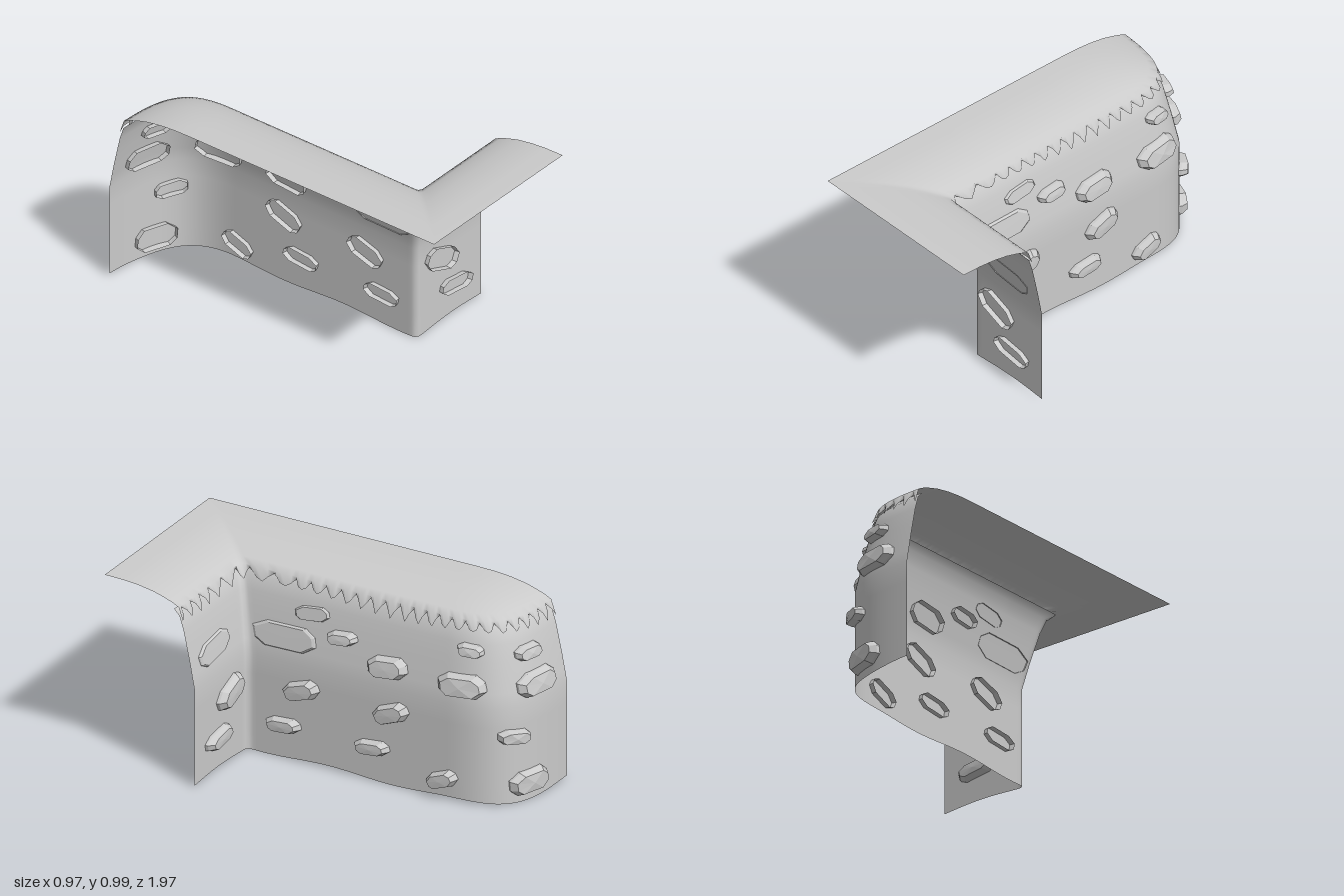
import * as THREE from 'three';

const material = new THREE.MeshStandardMaterial({ color: 0xcccccc, side: THREE.DoubleSide });
const stoneMaterial = new THREE.MeshStandardMaterial({ color: 0xcccccc, side: THREE.DoubleSide, flatShading: true });

// Ground line of the cliff in (x, z): short front leg, inner corner, long side, rounded back
const path = new THREE.Path();
path.moveTo(0.485, 0.51).lineTo(0.03, 0.51);
path.quadraticCurveTo(0, 0.51, 0, 0.48);
path.lineTo(0, -0.58);
path.bezierCurveTo(0, -0.86, -0.13, -0.94, -0.485, -0.95);
path.arcLengthDivisions = 400;
const LENGTH = path.getLength();
const at = (s) => path.getPointAt(THREE.MathUtils.clamp(s / LENGTH, 0, 1));

// Point on the far edge of the plateau that belongs to a point of the ground line
function farEdge(b) {
  const { smoothstep, lerp } = THREE.MathUtils;
  if (b.y > 0.495) return new THREE.Vector2(lerp(-0.485, b.x, smoothstep(b.x, 0, 0.2)), 1);
  if (b.y > -0.3) return new THREE.Vector2(-0.485, lerp(b.y, 1, smoothstep(b.y, 0.3, 0.495)));
  return new THREE.Vector2(-0.485, -0.3 + (b.y + 0.3) * 0.23);
}

// Position at length s, moved inward by d (0 = ground line, 0.485 = far edge), at height y
function inset(s, d, y) {
  const b = at(s);
  const p = b.clone().lerp(farEdge(b), d / 0.485);
  return new THREE.Vector3(p.x, y, p.y);
}

// Inward lean of the wall at height y
const LEAN = [[0, 0], [0.5, 0], [0.65, 0.028], [0.8, 0.06], [0.87, 0.082], [0.92, 0.13]];
function lean(y) {
  for (let i = 1; i < LEAN.length; i++) {
    const [y0, d0] = LEAN[i - 1], [y1, d1] = LEAN[i];
    if (y <= y1) return THREE.MathUtils.mapLinear(Math.max(y, 0), y0, y1, d0, d1);
  }
  return 0.13;
}

// Surface from a grid of points given by rule(column, row)
function grid(columns, rows, rule) {
  const positions = [], index = [];
  for (let j = 0; j <= rows; j++)
    for (let i = 0; i <= columns; i++) positions.push(...rule(i, j).toArray());
  for (let j = 0; j < rows; j++)
    for (let i = 0; i < columns; i++) {
      const a = j * (columns + 1) + i, c = a + columns + 1;
      index.push(a, a + 1, c, a + 1, c + 1, c);
    }
  const geometry = new THREE.BufferGeometry();
  geometry.setAttribute('position', new THREE.Float32BufferAttribute(positions, 3));
  geometry.setIndex(index);
  geometry.computeVertexNormals();
  return geometry;
}

function add(group, name, geometry, mat = material) {
  const mesh = new THREE.Mesh(geometry, mat);
  mesh.name = name;
  group.add(mesh);
}

// Length along the ground line nearest to (x, z)
function lengthNear(x, z) {
  let best = 0, bestDistance = Infinity;
  for (let k = 0; k <= 400; k++) {
    const s = (LENGTH * k) / 400;
    const distance = at(s).distanceToSquared(new THREE.Vector2(x, z));
    if (distance < bestDistance) [best, bestDistance] = [s, distance];
  }
  return best;
}

// Octagonal stone shell, open at the back, bent along the wall
const OCTAGON = [[1, -0.3], [0.95, 0.45], [0.62, 1], [-0.55, 0.95], [-1, 0.35], [-0.96, -0.5], [-0.66, -1], [0.6, -0.95]];
const RAISED = [[1, -0.026], [0.92, 0.014], [0.72, 0.042], [0, 0.045]];
const FLUSH = [[1, -0.004], [0.96, 0.006], [0.88, 0.012], [0, 0.012]];
function stone([x, z, y, w, h, tilt, flush]) {
  const s0 = lengthNear(x, z), rings = flush ? FLUSH : RAISED;
  return grid(8, 3, (i, j) => {
    const [scale, out] = rings[j];
    const p = new THREE.Vector2(...OCTAGON[i % 8]).multiply(new THREE.Vector2(w / 2, h / 2));
    p.multiplyScalar(scale).rotateAround(new THREE.Vector2(), tilt);
    const s = s0 + p.x, yy = y + p.y;
    const t = path.getTangentAt(THREE.MathUtils.clamp(s / LENGTH, 0, 1));
    return inset(s, lean(yy), yy).add(new THREE.Vector3(-t.y * out, 0, t.x * out));
  });
}

// x, z, height, width, tallness, tilt, flush with the wall
const STONES = [
  // front leg
  [0.175, 0.51, 0.37, 0.24, 0.115, 0.35], [0.28, 0.51, 0.175, 0.23, 0.08, 0.12], [0.27, 0.51, 0.63, 0.28, 0.11, 0.1, true],
  // long side
  [0, 0.18, 0.76, 0.19, 0.07, 0.1, true], [0, 0.31, 0.62, 0.33, 0.125, 0, true],
  [0, 0.005, 0.685, 0.17, 0.065, 0.08], [0, -0.25, 0.6, 0.23, 0.11, 0.08],
  [0, 0.21, 0.375, 0.21, 0.1, 0.3], [0, -0.28, 0.375, 0.21, 0.1, 0.35],
  [0, 0.31, 0.175, 0.2, 0.075, 0.05], [0, -0.175, 0.175, 0.2, 0.075, 0.08],
  [0, -0.555, 0.1, 0.18, 0.085, 0.35], [0, -0.66, 0.6, 0.27, 0.12, 0.03],
  [-0.01, -0.71, 0.775, 0.15, 0.06, -0.08],
  // rounded back
  [-0.12, -0.88, 0.35, 0.18, 0.075, -0.15], [-0.26, -0.93, 0.59, 0.27, 0.12, 0],
  [-0.22, -0.92, 0.745, 0.18, 0.07, 0], [-0.2, -0.915, 0.1, 0.24, 0.125, 0],
];

export function createModel() {
  const group = new THREE.Group();
  group.name = 'cliffCorner';
  const COLUMNS = 112;

  // Cliff wall with a slightly wavy foot
  const wallRows = [0, 0.12, 0.25, 0.4, 0.5, 0.57, 0.65, 0.72, 0.8, 0.87, 0.9];
  add(group, 'cliffWall', grid(COLUMNS, wallRows.length - 1, (i, j) => {
    const s = (LENGTH * i) / COLUMNS;
    const y = j ? wallRows[j] : 0.008 + 0.008 * Math.sin(s * 9 - 0.4);
    return inset(s, lean(y), y);
  }));

  // Plateau that rolls over the wall and ends in a jagged fringe
  const roll = [[0.085, 0.912], [0.12, 0.93], [0.165, 0.946], [0.22, 0.962], [0.3, 0.976], [0.38, 0.983], [0.485, 0.985]];
  add(group, 'grassPlateau', grid(COLUMNS, roll.length, (i, j) => {
    const s = (LENGTH * i) / COLUMNS;
    if (j) return inset(s, ...roll[j - 1]);
    const drop = Math.abs((i % 4) - 2) / 2;
    const y = 0.895 - drop * (0.048 + 0.014 * Math.sin(i * 1.7));
    return inset(s, lean(y) - 0.012, y);
  }));

  // Stones set into the wall
  const stones = new THREE.Group();
  stones.name = 'wallStones';
  STONES.forEach((entry) => add(stones, 'stone', stone(entry), stoneMaterial));
  group.add(stones);
  return group;
}
